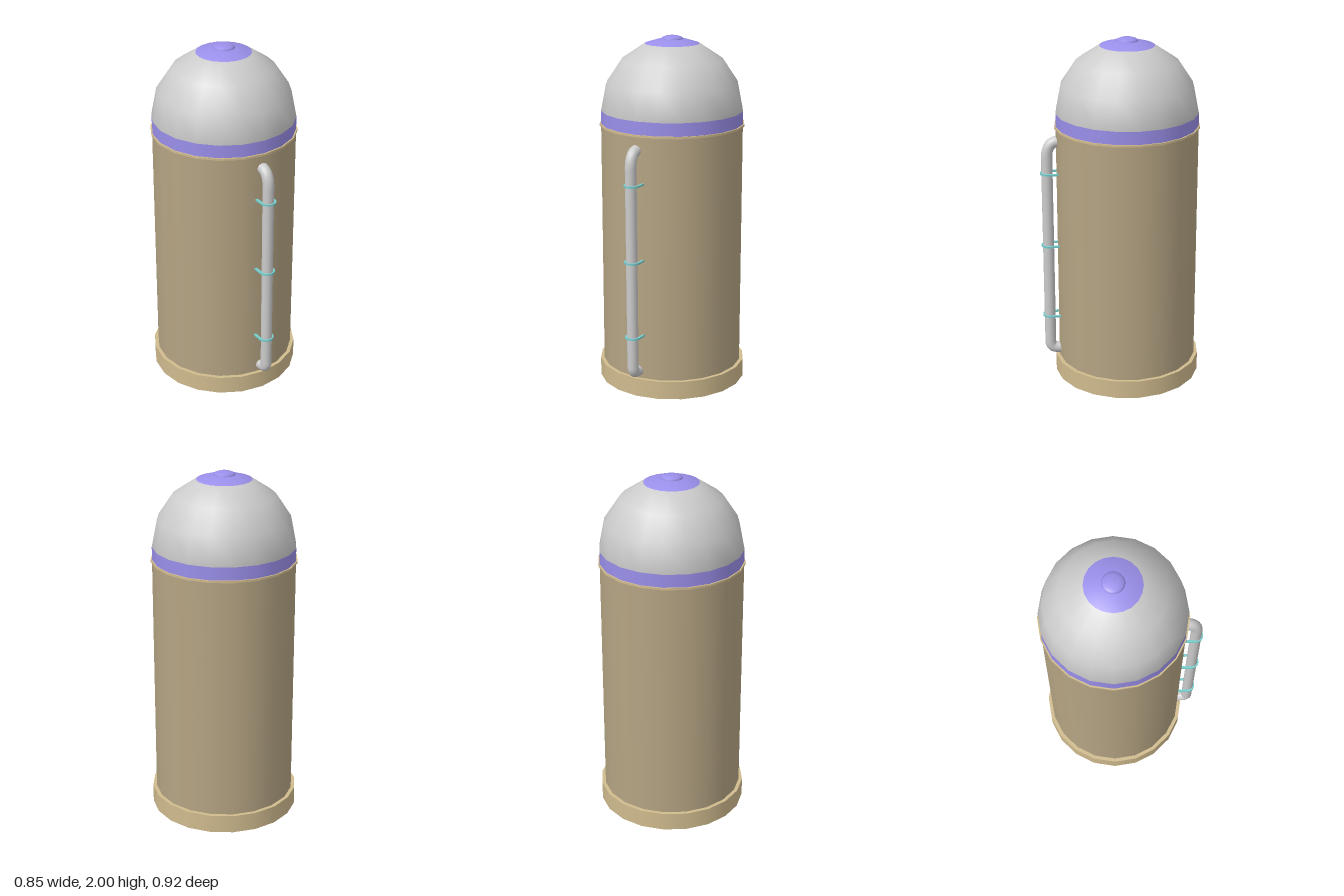
import * as THREE from 'three';

const SIDES = 20;
const AXIS_Z = -0.038; // the tank sits slightly back, the pipe projects forward
const R = 0.402;
const DOME_Y = 1.585;

const mat = (color) => new THREE.MeshStandardMaterial({ color });

export function createModel() {
  const root = new THREE.Group();
  root.name = 'tank';
  const grey = mat(0xcccccc);
  const tan = mat(0xb5a483);
  const paleTan = mat(0xd0bb8e);
  const purple = mat(0x9a8fea);
  const teal = mat(0x78cdcd);

  const add = (name, geometry, material, y = 0, z = AXIS_Z, x = 0) => {
    const mesh = new THREE.Mesh(geometry, material);
    mesh.name = name;
    mesh.position.set(x, y, z);
    root.add(mesh);
    return mesh;
  };
  const drum = (name, r, y0, y1, material, open = false) =>
    add(name, new THREE.CylinderGeometry(r, r, y1 - y0, SIDES, 1, open), material, (y0 + y1) / 2);

  // Body, from the ground up
  drum('base', 0.423, 0, 0.105, paleTan);
  drum('body', R, 0.105, 1.502, tan, true);
  drum('bodyLip', 0.41, 1.5, 1.512, paleTan);
  drum('collarBand', R, 1.512, DOME_Y, purple, true);

  // Dome with a coloured crown and a small button on top
  const step = Math.PI / 8;
  add('dome', new THREE.SphereGeometry(R, SIDES, 3, 0, Math.PI * 2, step, step * 3), grey, DOME_Y);
  add('domeCrown', new THREE.SphereGeometry(R, SIDES, 1, 0, Math.PI * 2, 0, step), purple, DOME_Y);
  const button = [[0.06, 1.965], [0.061, 1.982], [0.054, 1.991], [0.035, 1.998], [0, 2]];
  add('topButton', new THREE.LatheGeometry(button.map(([r, y]) => new THREE.Vector2(r, y)), 32), purple);

  // Front pipe, bent into the wall at both ends
  const v = (x, y, z) => new THREE.Vector3(x, y, z);
  const a = v(-0.006, 1.425, 0.35), b = v(-0.006, 1.42, 0.375);
  const c = v(-0.006, 1.34, 0.417), d = v(-0.001, 0.19, 0.417);
  const e = v(0, 0.15, 0.385), f = v(0, 0.145, 0.34);
  const path = new THREE.CurvePath();
  path.add(new THREE.LineCurve3(a, b));
  path.add(new THREE.QuadraticBezierCurve3(b, v(-0.006, 1.405, 0.413), c));
  path.add(new THREE.LineCurve3(c, d));
  path.add(new THREE.QuadraticBezierCurve3(d, v(0, 0.155, 0.417), e));
  path.add(new THREE.LineCurve3(e, f));
  add('pipe', new THREE.TubeGeometry(path, 160, 0.032, 16), grey, 0, 0);

  // Thin U-shaped clamps holding the pipe to the wall
  const outer = 0.045, inner = 0.031, reach = 0.07;
  const clamp = new THREE.Shape();
  clamp.moveTo(outer, reach);
  clamp.lineTo(outer, 0);
  clamp.absarc(0, 0, outer, 0, -Math.PI, true);
  clamp.lineTo(-outer, reach);
  clamp.lineTo(-inner, reach);
  clamp.lineTo(-inner, 0);
  clamp.absarc(0, 0, inner, -Math.PI, 0, false);
  clamp.lineTo(inner, reach);
  clamp.closePath();
  const clampGeo = new THREE.ExtrudeGeometry(clamp, { depth: 0.01, bevelEnabled: false, curveSegments: 16 });
  clampGeo.rotateX(-Math.PI / 2); // shape +y points back to the wall
  for (const y of [0.36, 0.8, 1.235]) add('pipeClamp', clampGeo, teal, y, 0.412, -0.003);

  return root;
}
